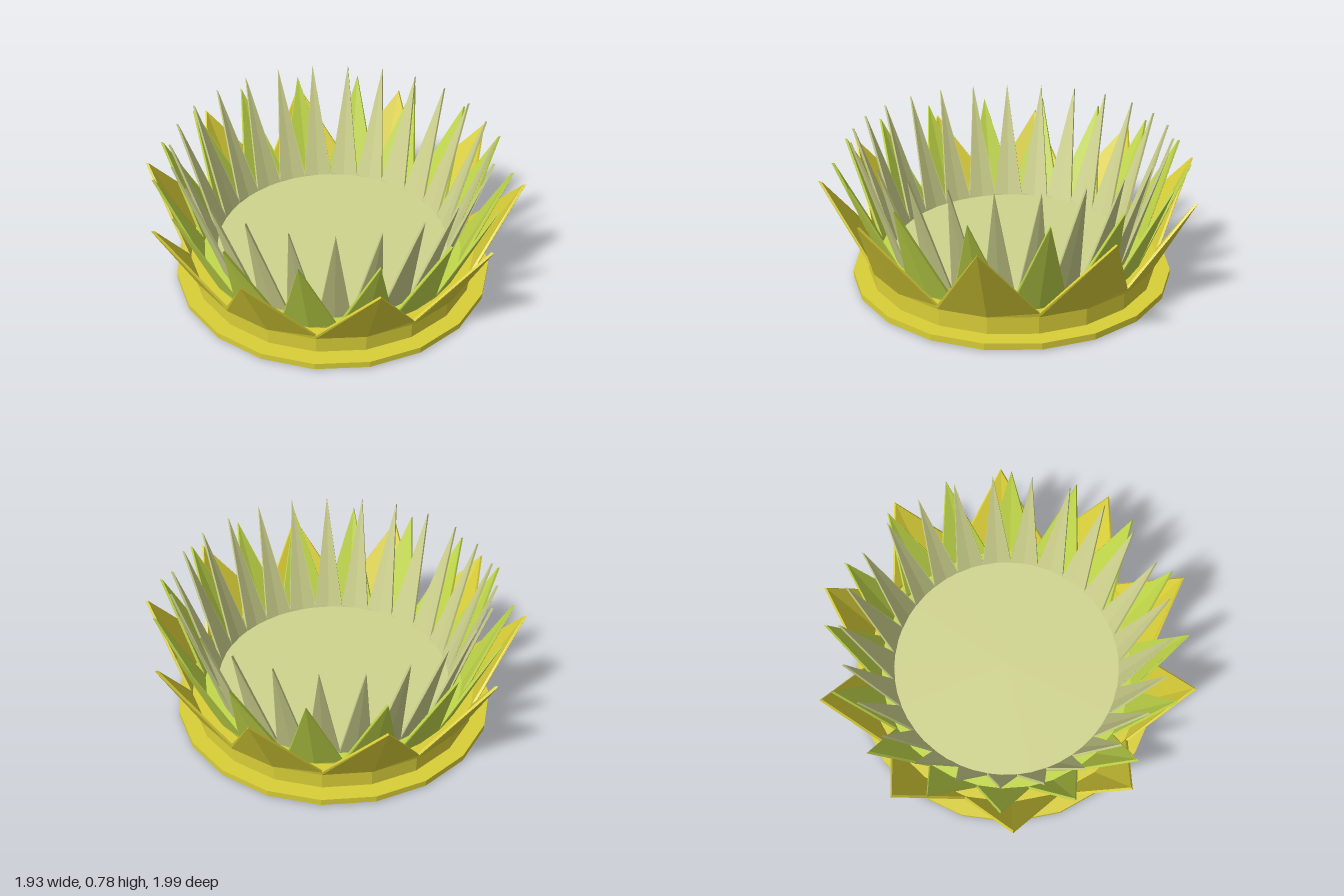
import * as THREE from 'three';

const mat = (name, color) => {
  const m = new THREE.MeshStandardMaterial({ color, flatShading: true });
  m.name = name;
  return m;
};
const rad = THREE.MathUtils.degToRad;

// A thin crown of folded, pointed petals that lean outward
function petalRing({ count, phase, baseR, valleyR, tipR, baseY, valleyY, tipY, thick }) {
  const pos = [];
  const at = (a, r, y) => [Math.sin(a) * r, y, Math.cos(a) * r];
  const quad = (a, b, c, d) => pos.push(...a, ...b, ...c, ...a, ...c, ...d);
  const half = Math.PI / count;
  for (let i = 0; i < count; i++) {
    const mid = rad(phase) + i * 2 * half;
    // corners of one petal: shell at inset t
    const shell = (t) => ({
      b0: at(mid - half, baseR - t, baseY), v0: at(mid - half, valleyR - t, valleyY),
      b1: at(mid + half, baseR - t, baseY), v1: at(mid + half, valleyR - t, valleyY),
      root: at(mid, baseR - t, baseY), tip: at(mid, tipR - t, tipY),
    });
    const o = shell(0), n = shell(thick);
    // outer faces
    quad(o.b0, o.root, o.tip, o.v0);
    quad(o.root, o.b1, o.v1, o.tip);
    // inner faces
    quad(n.tip, n.root, n.b0, n.v0);
    quad(n.root, n.tip, n.v1, n.b1);
    // upper rim
    quad(o.v0, o.tip, n.tip, n.v0);
    quad(o.tip, o.v1, n.v1, n.tip);
    // underside
    quad(o.b0, n.b0, n.root, o.root);
    quad(o.root, n.root, n.b1, o.b1);
  }
  const g = new THREE.BufferGeometry();
  g.setAttribute('position', new THREE.Float32BufferAttribute(pos, 3));
  g.computeVertexNormals();
  return g;
}

export function createModel() {
  const group = new THREE.Group();
  const gold = mat('gold yellow', 0xdacf38);
  const green = mat('leaf green', 0xc2d84a);
  const pale = mat('pale green', 0xd0d48e);

  const add = (name, geometry, material, y = 0) => {
    const m = new THREE.Mesh(geometry, material);
    m.name = name;
    m.position.y = y;
    group.add(m);
  };
  const disc = (name, r, y0, y1, sides, phase, material) =>
    add(name, new THREE.CylinderGeometry(r, r, y1 - y0, sides, 1, false, rad(phase)), material, (y0 + y1) / 2);

  // Stepped base
  disc('baseFlange', 0.855, 0.006, 0.04, 20, 4, gold);
  disc('baseBand', 0.772, 0.04, 0.138, 20, 4, gold);
  disc('middleBed', 0.71, 0.1, 0.141, 32, 5, green);
  disc('innerFloor', 0.635, 0, 0.145, 50, 180, pale);

  // Three crowns of petals, from outside in
  add('outerPetals', petalRing({ count: 10, phase: 4, baseR: 0.785, valleyR: 0.79, tipR: 0.995,
    baseY: 0.138, valleyY: 0.16, tipY: 0.565, thick: 0.014 }), gold);
  add('middlePetals', petalRing({ count: 16, phase: 5, baseR: 0.71, valleyR: 0.715, tipR: 0.92,
    baseY: 0.135, valleyY: 0.16, tipY: 0.665, thick: 0.014 }), green);
  add('innerPetals', petalRing({ count: 25, phase: 180, baseR: 0.635, valleyR: 0.64, tipR: 0.825,
    baseY: 0.135, valleyY: 0.16, tipY: 0.78, thick: 0.012 }), pale);

  return group;
}
